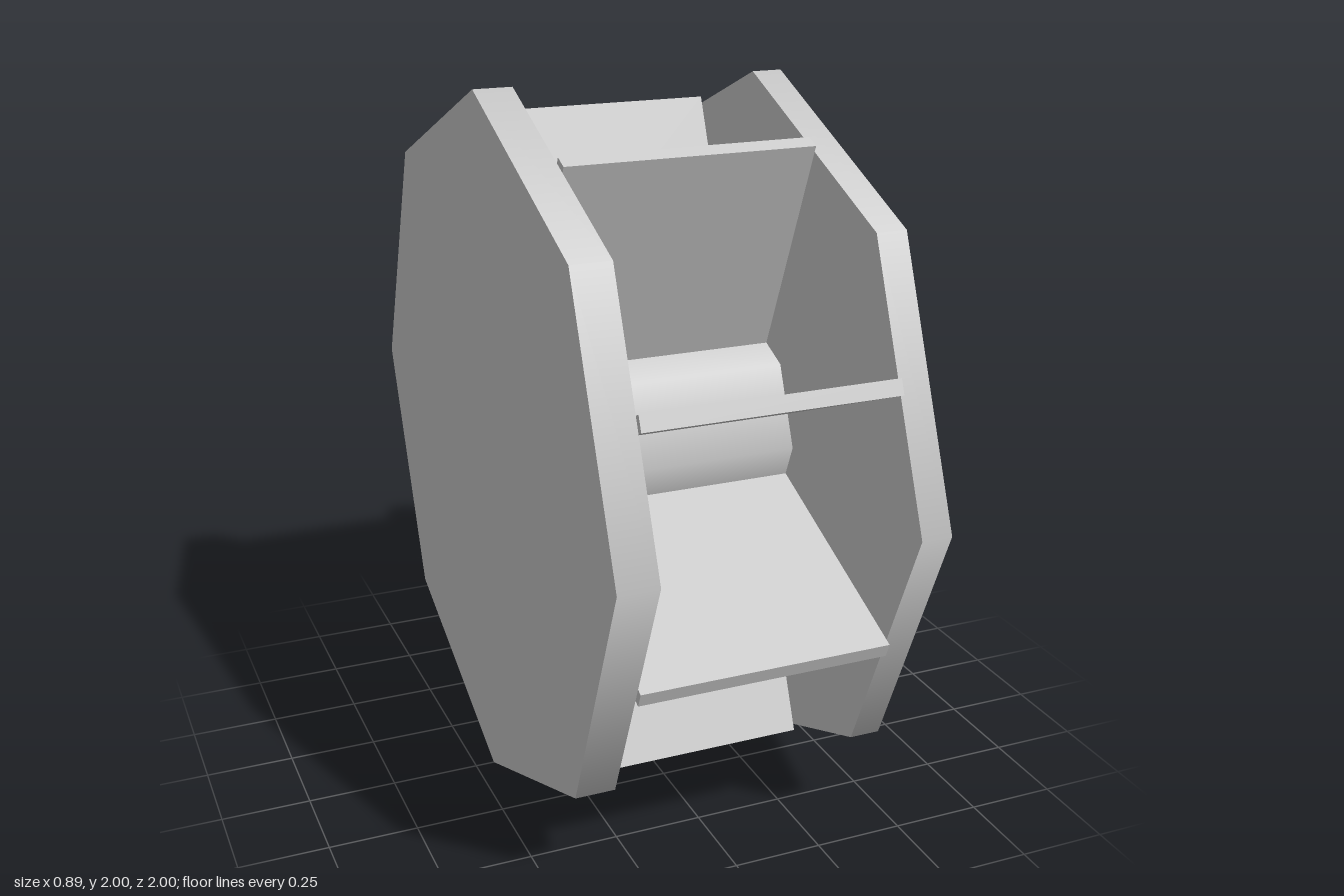
import * as THREE from 'three';

export function createModel() {
  const group = new THREE.Group();
  const mat = new THREE.MeshStandardMaterial({ color: 0xcccccc });

  // Octagonal drum lying along x, with corners at top, bottom, front and back
  function octagon(name, radius, x0, x1, open) {
    const geo = new THREE.CylinderGeometry(radius, radius, x1 - x0, 8, 1, open);
    geo.rotateZ(Math.PI / 2);
    const mesh = new THREE.Mesh(geo, mat);
    mesh.name = name;
    mesh.position.set((x0 + x1) / 2, 1, 0);
    group.add(mesh);
  }

  const inL = 0.36, inR = -0.335;
  octagon('leftEndPlate', 1, inL, 0.445, false);
  octagon('rightEndPlate', 1, -0.445, inR, false);
  octagon('hub', 0.31, inR, inL, true);

  // Eight paddles, each centred on a flat of the hub
  const inner = 0.27, outer = 0.942, thickness = 0.043;
  const bladeGeo = new THREE.BoxGeometry(inL - inR, outer - inner, thickness);
  bladeGeo.translate((inL + inR) / 2, (inner + outer) / 2, 0);
  for (let i = 0; i < 8; i++) {
    const blade = new THREE.Mesh(bladeGeo, mat);
    blade.name = 'paddle' + (i + 1);
    blade.position.y = 1;
    blade.rotation.x = (i + 0.5) * Math.PI / 4;
    group.add(blade);
  }
  return group;
}
